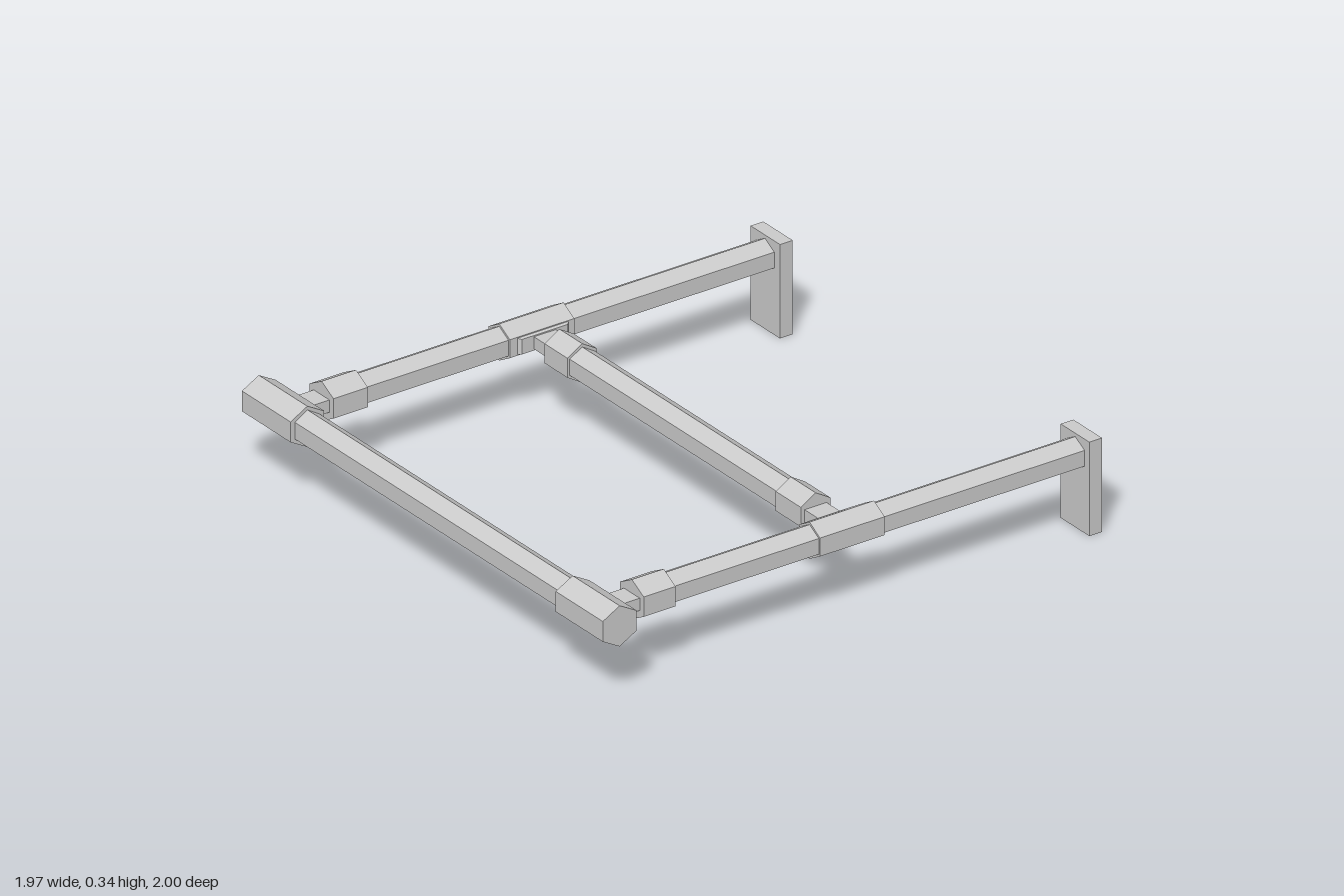
import * as THREE from 'three';

const material = new THREE.MeshStandardMaterial({ color: 0xcccccc, flatShading: true });
const AXIS_Y = 0.268; // height of every tube's centre line

// Hexagonal tube with a ridge on top, running along 'x' or 'z' from a to b;
// 'at' is its position on the other axis. 'taper' shrinks the end at b.
function hexTube(name, axis, a, b, at, halfWidth, halfHeight, taper = 1) {
  const g = new THREE.CylinderGeometry(taper, 1, 1, 6);
  g.rotateX(Math.PI / 2);
  g.scale(halfWidth / Math.cos(Math.PI / 6), halfHeight, b - a);
  if (b < a) g.scale(-1, 1, -1).rotateY(Math.PI);
  if (axis === 'x') g.rotateY(Math.PI / 2);
  const mesh = new THREE.Mesh(g, material);
  mesh.name = name;
  const mid = (a + b) / 2;
  mesh.position.set(axis === 'x' ? mid : at, AXIS_Y, axis === 'x' ? at : mid);
  return mesh;
}

function box(name, x0, x1, y0, y1, z0, z1) {
  const mesh = new THREE.Mesh(new THREE.BoxGeometry(x1 - x0, y1 - y0, z1 - z0), material);
  mesh.name = name;
  mesh.position.set((x0 + x1) / 2, (y0 + y1) / 2, (z0 + z1) / 2);
  return mesh;
}

// Low tapered pad where a neck meets a sleeve; it points along +z before turning
function boss(name, x, z, width, height, depth, turn) {
  const g = new THREE.CylinderGeometry(Math.SQRT1_2 * 0.86, Math.SQRT1_2, 1, 4, 1, false, Math.PI / 4);
  g.rotateX(Math.PI / 2).scale(width, height, depth);
  const mesh = new THREE.Mesh(g, material);
  mesh.name = name;
  mesh.position.set(x, AXIS_Y, z);
  mesh.rotation.y = turn;
  return mesh;
}

// Foot plate: solid front, open tray at the back
function footPlate(x0, x1) {
  const group = new THREE.Group();
  group.name = 'footPlate';
  const top = 0.337, rim = 0.02;
  group.add(box('plateFace', x0, x1, 0, top, -0.965, -0.95));
  const w = x1 - x0;
  const shape = new THREE.Shape([
    new THREE.Vector2(0, 0), new THREE.Vector2(w, 0),
    new THREE.Vector2(w, top), new THREE.Vector2(0, top)]);
  shape.holes.push(new THREE.Path([
    new THREE.Vector2(rim, rim), new THREE.Vector2(rim, top - rim),
    new THREE.Vector2(w - rim, top - rim), new THREE.Vector2(w - rim, rim)]));
  const frame = new THREE.Mesh(
    new THREE.ExtrudeGeometry(shape, { depth: 0.035, bevelEnabled: false }), material);
  frame.name = 'plateRim';
  frame.position.set(x0, 0, -1);
  group.add(frame);
  return group;
}

export function createModel() {
  const model = new THREE.Group();
  model.name = 'railFrame';

  // Front bar with a sleeve at each end
  const frontZ = 0.93;
  model.add(hexTube('frontBar', 'x', -0.73, 0.73, frontZ, 0.049, 0.06));
  model.add(hexTube('frontSleeveRight', 'x', -0.985, -0.72, frontZ, 0.066, 0.073));
  model.add(hexTube('frontSleeveLeft', 'x', 0.725, 0.982, frontZ, 0.066, 0.073));

  // Cross bar with a sleeve at each end
  const crossZ = -0.037;
  model.add(hexTube('crossBar', 'x', -0.6, 0.6, crossZ, 0.049, 0.058));
  model.add(hexTube('crossSleeveRight', 'x', -0.69, -0.565, crossZ, 0.058, 0.07));
  model.add(hexTube('crossSleeveLeft', 'x', 0.57, 0.707, crossZ, 0.058, 0.07));

  // Side rails, each with its sleeves, necks and foot plate
  const sides = [
    { name: 'rightSide', x: -0.837, s: -1, plate: [-0.915, -0.755], sleeveZ: 0.655, crossEnd: -0.68 },
    { name: 'leftSide', x: 0.854, s: 1, plate: [0.775, 0.931], sleeveZ: 0.665, crossEnd: 0.697 },
  ];
  for (const { name, x, s, plate, sleeveZ, crossEnd } of sides) {
    const side = new THREE.Group();
    side.name = name;
    side.add(hexTube('sideRail', 'z', -0.98, 0.67, x, 0.051, 0.057));
    side.add(hexTube('middleSleeve', 'z', -0.16, 0.093, x, 0.058, 0.066));
    side.add(hexTube('endSleeve', 'z', sleeveZ, 0.79, x, 0.065, 0.071));
    side.add(box('frontNeck', x - 0.043, x + 0.043, 0.246, 0.29, 0.78, 0.88));
    side.add(boss('frontBoss', x, 0.867, 0.16, 0.062, 0.012, Math.PI));
    const inner = x - s * 0.061;
    side.add(box('crossNeck', Math.min(crossEnd, inner), Math.max(crossEnd, inner),
      0.246, 0.29, crossZ - 0.043, crossZ + 0.043));
    side.add(boss('crossBoss', inner, crossZ, 0.21, 0.062, 0.016, -s * Math.PI / 2));
    side.add(footPlate(...plate));
    model.add(side);
  }
  return model;
}
